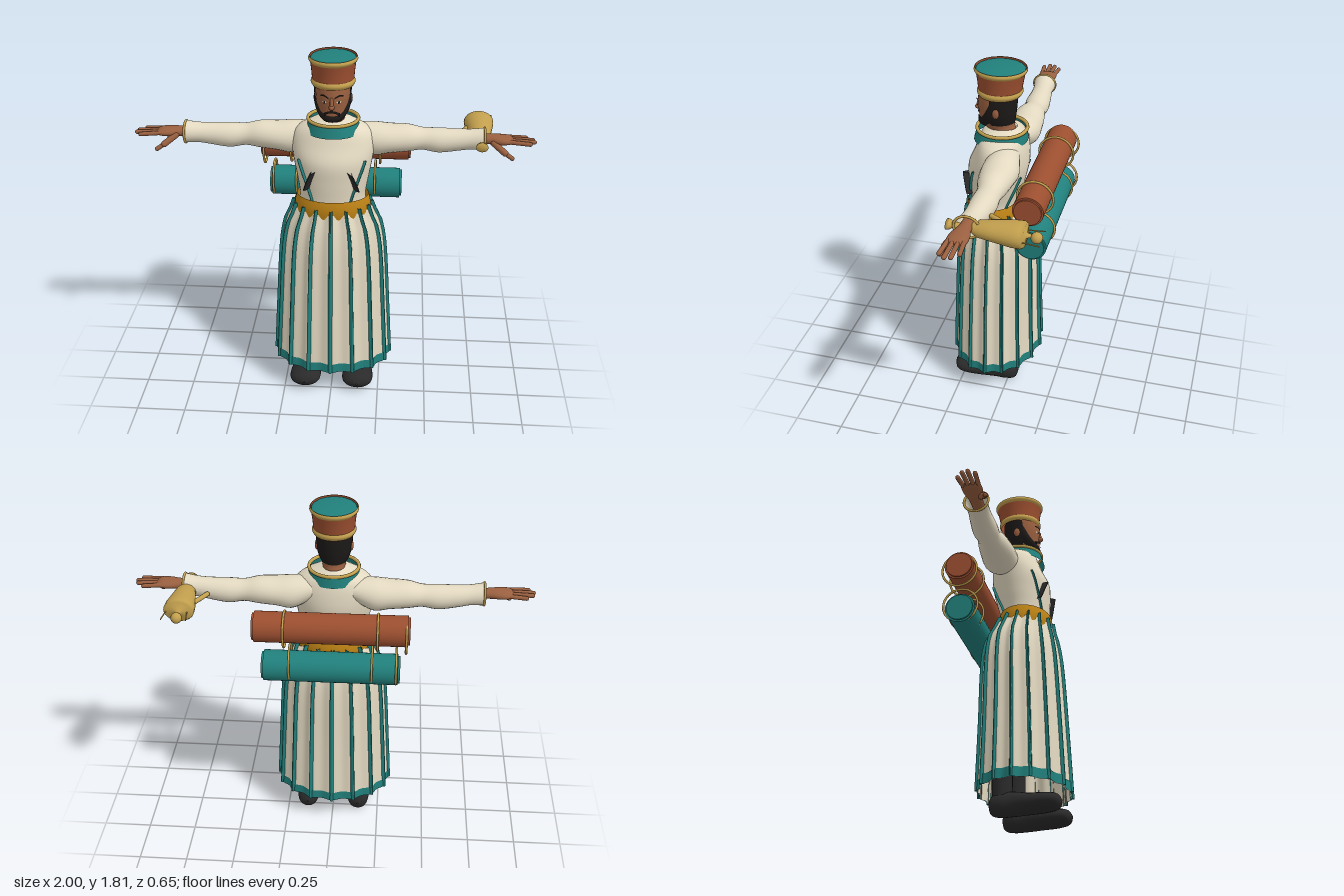
import * as THREE from 'three';
import { mergeVertices } from 'three/addons/utils/BufferGeometryUtils.js';

const material = (name, color, side = THREE.FrontSide) => {
  const m = new THREE.MeshStandardMaterial({ color, side });
  m.name = name;
  return m;
};
const cream = material('cream cloth', 0xe4dac2, THREE.DoubleSide);
const teal = material('teal cloth', 0x21807c, THREE.DoubleSide);
const rust = material('rust cloth', 0x9c4f30, THREE.DoubleSide);
const gold = material('gold', 0xc3a04e, THREE.DoubleSide);
const amber = material('amber belt', 0xc08416, THREE.DoubleSide);
const skin = material('skin', 0x9a6040);
const black = material('black leather', 0x2a2a2b, THREE.DoubleSide);
const hairDark = material('dark hair', 0x1c1918, THREE.DoubleSide);

// Sections are [t, centreA, radiusA, centreB, radiusB]; returns a smooth blend at t
function sectionAt(secs, t) {
  let i = 0;
  while (i < secs.length - 2 && t > secs[i + 1][0]) i++;
  const p = secs[i], q = secs[i + 1], o = secs[Math.max(i - 1, 0)], r = secs[Math.min(i + 2, secs.length - 1)];
  const h = q[0] - p[0], s = (t - p[0]) / h, s2 = s * s, s3 = s2 * s;
  return p.map((_, k) => {
    const m0 = (q[k] - o[k]) / (q[0] - o[0]), m1 = (r[k] - p[k]) / (r[0] - p[0]);
    return (2 * s3 - 3 * s2 + 1) * p[k] + (s3 - 2 * s2 + s) * h * m0 + (3 * s2 - 2 * s3) * q[k] + (s3 - s2) * h * m1;
  });
}

// Grid laid over elliptical sections; fn(u, v) gives [angle, t, outward offset]
function surface(secs, fn, nu = 32, nv = 20, axis = 'y') {
  const pos = [], idx = [];
  for (let j = 0; j <= nv; j++) for (let i = 0; i <= nu; i++) {
    const [a, t, off = 0] = fn(i / nu, j / nv);
    const [, c1, r1, c2, r2] = sectionAt(secs, t);
    const s = (r1 + off) * Math.sin(a), z = c2 + (r2 + off) * Math.cos(a);
    if (axis === 'y') pos.push(c1 + s, t, z);
    else pos.push(t, c1 - s, z);
    if (i < nu && j < nv) {
      const k = j * (nu + 1) + i, n = k + nu + 1;
      idx.push(k, k + 1, n + 1, k, n + 1, n);
    }
  }
  let g = new THREE.BufferGeometry();
  g.setAttribute('position', new THREE.Float32BufferAttribute(pos, 3));
  g.setIndex(idx);
  g = mergeVertices(g, 1e-5);
  g.computeVertexNormals();
  return g;
}
const TAU = Math.PI * 2;
const band = (secs, t0, t1, off = () => 0, nu = 32, nv = 20, axis = 'y') =>
  surface(secs, (u, v) => [u * TAU, t0 + (t1 - t0) * v, off(u * TAU, v)], nu, nv, axis);
// Raised strip between two [angle, t] points
const ribbon = (secs, p, q, half, height, base = 0, nv = 16) => surface(secs, (u, v) => [
  p[0] + (q[0] - p[0]) * v + (u * 2 - 1) * half, p[1] + (q[1] - p[1]) * v,
  base + height * Math.min(1, 3 * Math.min(u, 1 - u))], 6, nv);

// Round-ended rod between two points
function rod(a, b, r) {
  const A = new THREE.Vector3(...a), B = new THREE.Vector3(...b), d = B.clone().sub(A);
  const g = new THREE.CapsuleGeometry(r, d.length(), 4, 10);
  g.applyQuaternion(new THREE.Quaternion().setFromUnitVectors(new THREE.Vector3(0, 1, 0), d.normalize()));
  const c = A.add(B).multiplyScalar(0.5);
  return g.translate(c.x, c.y, c.z);
}
const ball = (x, y, z, rx, ry = rx, rz = rx) => new THREE.SphereGeometry(1, 16, 12).scale(rx, ry, rz).translate(x, y, z);
const ringX = (x, y, z, ry, rz, r) => new THREE.TorusGeometry(1, r / ry, 8, 32).rotateY(Math.PI / 2).scale(r / ry > 1 ? 1 : ry, ry, rz).translate(x, y, z);

export function createModel() {
  const model = new THREE.Group();
  model.name = 'robedFigure';
  const add = (name, geo, mat) => {
    const m = new THREE.Mesh(geo, mat);
    m.name = name;
    model.add(m);
  };
  // Adds a part on the left and its mirror on the right
  const pair = (name, geo, mat) => {
    add(name + 'Left', geo, mat);
    const g = geo.clone().scale(-1, 1, 1), ix = g.index;
    for (let i = 0; i < ix.count; i += 3) {
      const t = ix.getX(i);
      ix.setX(i, ix.getX(i + 1));
      ix.setX(i + 1, t);
    }
    add(name + 'Right', g, mat);
  };

  // Pleated skirt with hem and raised stripes
  const skirt = [[0.15, 0, 0.297, 0.09, 0.222], [0.5, 0, 0.277, 0.088, 0.208], [0.82, 0, 0.256, 0.083, 0.195],
    [0.95, 0, 0.232, 0.083, 0.177], [1.02, 0, 0.2, 0.092, 0.15], [1.07, 0, 0.185, 0.1, 0.135]];
  const pleat = a => 0.007 * Math.cos(16 * a);
  add('skirt', band(skirt, 0.15, 1.04, pleat, 128, 24), cream);
  add('hem', band(skirt, 0.15, 0.2, a => pleat(a) + 0.004, 128, 2), teal);
  for (let i = 0; i < 16; i++) {
    const a = i * TAU / 16;
    add('skirtStripe', ribbon(skirt, [a, 0.15], [a, 1.065], 0.045, 0.019, 0.001), teal);
  }

  // Torso and belt
  const torso = [[1.0, 0, 0.18, 0.1, 0.125], [1.1, 0, 0.165, 0.1, 0.125], [1.2, 0, 0.18, 0.09, 0.14], [1.3, 0, 0.198, 0.08, 0.15],
    [1.38, 0, 0.205, 0.065, 0.132], [1.44, 0, 0.18, 0.06, 0.115], [1.475, 0, 0.12, 0.06, 0.1], [1.5, 0, 0.055, 0.055, 0.065]];
  add('tunic', band(torso, 1.0, 1.5, undefined, 40, 30), cream);
  const belt = [[1.01, 0, 0.19, 0.1, 0.138], [1.11, 0, 0.18, 0.102, 0.133]];
  add('belt', band(belt, 1.012, 1.107, (a, v) => 0.006 * Math.sin(v * Math.PI), 40, 6), amber);
  pair('chestFlap', ribbon(torso, [0.75, 1.16], [0.47, 1.265], 0.05, 0.03), black);
  pair('chestTrim', ribbon(torso, [0.6, 1.1], [0.93, 1.31], 0.028, 0.012), teal);
  pair('backTrim', ribbon(torso, [2.3, 1.1], [2.65, 1.27], 0.028, 0.012), teal);

  // Collar
  const collar = [[1.43, 0, 0.14, 0.07, 0.135], [1.49, 0, 0.122, 0.065, 0.124]];
  add('collar', band(collar, 1.432, 1.49, undefined, 32, 4), teal);
  add('collarRing', new THREE.TorusGeometry(0.124, 0.009, 8, 40).rotateX(Math.PI / 2).translate(0, 1.492, 0.065), gold);

  // Head, ears and nose
  const head = [[1.42, 0, 0.062, 0.05, 0.062], [1.485, 0, 0.056, 0.06, 0.065], [1.51, 0, 0.06, 0.085, 0.082],
    [1.54, 0, 0.071, 0.09, 0.087], [1.58, 0, 0.079, 0.09, 0.09], [1.63, 0, 0.083, 0.09, 0.094], [1.69, 0, 0.083, 0.085, 0.092]];
  add('head', band(head, 1.42, 1.69), skin);
  add('nose', ball(0, 1.588, 0.184, 0.014, 0.013, 0.018), skin);
  add('noseBridge', rod([0, 1.63, 0.178], [0, 1.592, 0.188], 0.009), skin);
  pair('ear', ball(0.086, 1.6, 0.075, 0.009, 0.026, 0.017), skin);

  // Hair, beard and face details
  add('hair', surface(head, (u, v) => [1.4 + u * (TAU - 2.8), 1.525 + 0.16 * v, 0.007 * Math.sin(Math.PI * Math.min(0.5, v + 0.1))]), hairDark);
  add('beard', surface(head, (u, v) => {
    const w = Math.abs(2 * u - 1), lo = 1.493 + 0.05 * w * w, hi = 1.542 + 0.115 * w ** 3;
    return [(2 * u - 1) * 1.45, lo + (hi - lo) * v, 0.002 + 0.008 * Math.sin(Math.PI * v)];
  }, 32, 8), hairDark);
  add('moustache', surface(head, (u, v) => [(2 * u - 1) * 0.5, 1.559 - 0.016 * (2 * u - 1) ** 2 + 0.012 * v, 0.006], 16, 2), hairDark);
  pair('moustacheSide', ribbon(head, [0.55, 1.53], [0.48, 1.557], 0.08, 0.006), hairDark);
  pair('eye', surface(head, (u, v) => [0.27 + 0.3 * u, 1.614 + 0.007 * (2 * v - 1) * Math.sin(Math.PI * u), 0.003], 10, 2), cream);
  pair('pupil', surface(head, (u, v) => [0.37 + 0.1 * u, 1.614 + 0.007 * (2 * v - 1), 0.005], 2, 2), hairDark);
  pair('brow', surface(head, (u, v) => [0.16 + 0.5 * u, 1.631 + 0.012 * Math.sin(u * 2.4) + 0.008 * v, 0.006], 8, 2), hairDark);

  // Flared hat
  const hat = [[1.67, 0, 0.1, 0.075, 0.104], [1.74, 0, 0.105, 0.072, 0.112], [1.81, 0, 0.114, 0.07, 0.125]];
  add('hat', band(hat, 1.67, 1.81, undefined, 40, 8), rust);
  const roll = (a, v) => 0.007 * Math.sin(Math.PI * v);
  add('hatLowerBand', band(hat, 1.672, 1.703, roll, 40, 6), gold);
  add('hatUpperBand', band(hat, 1.785, 1.812, roll, 40, 6), gold);
  add('hatTop', ball(0, 1.802, 0.07, 0.112, 0.013, 0.123), teal);

  // Sleeves, cuffs and hands
  const arm = [[0.1, 1.395, 0.055, 0.02, 0.07], [0.2, 1.37, 0.082, 0.015, 0.09], [0.28, 1.372, 0.073, 0.015, 0.088], [0.37, 1.375, 0.068, 0.012, 0.075],
    [0.44, 1.372, 0.056, 0.01, 0.06], [0.52, 1.366, 0.062, 0.012, 0.064], [0.62, 1.372, 0.055, 0.015, 0.056], [0.68, 1.378, 0.051, 0.02, 0.053], [0.745, 1.382, 0.056, 0.025, 0.06]];
  pair('sleeve', band(arm, 0.1, 0.745, undefined, 24, 36, 'x'), cream);
  pair('cuff', ringX(0.745, 1.382, 0.025, 0.055, 0.06, 0.006), gold);
  const palm = [[0.68, 1.382, 0.024, 0.025, 0.03], [0.77, 1.385, 0.025, 0.028, 0.033], [0.82, 1.385, 0.024, 0.032, 0.047],
    [0.87, 1.385, 0.018, 0.033, 0.047], [0.895, 1.385, 0.002, 0.033, 0.03]];
  pair('palm', band(palm, 0.68, 0.895, undefined, 20, 16, 'x'), skin);
  [[-0.002, -0.008, 0.95], [0.022, 0.022, 0.982], [0.046, 0.05, 0.988], [0.069, 0.079, 0.965]].forEach(([z0, z1, x], i) =>
    pair('finger' + (i + 1), rod([0.865, 1.387, z0], [x, 1.382, z1], 0.011), skin));
  pair('thumb', rod([0.79, 1.375, 0.06], [0.845, 1.338, 0.095], 0.016), skin);
  pair('thumbTip', rod([0.845, 1.338, 0.095], [0.88, 1.316, 0.105], 0.011), skin);

  // Legs and shoes
  pair('leg', new THREE.CylinderGeometry(0.055, 0.05, 0.6, 16).translate(0.14, 0.4, 0.01), black);
  const shoe = [[-0.056, 0.06, 0.003, 0, 0.003], [-0.045, 0.06, 0.04, 0, 0.04], [0, 0.065, 0.06, 0, 0.058], [0.06, 0.065, 0.06, 0, 0.06],
    [0.15, 0.062, 0.05, 0, 0.076], [0.24, 0.064, 0.043, 0, 0.08], [0.285, 0.066, 0.03, 0, 0.055], [0.3, 0.066, 0.003, 0, 0.004]];
  pair('shoe', band(shoe, -0.056, 0.3, undefined, 24, 40, 'x').rotateY(-Math.PI / 2).translate(0.14, 0, 0), black);

  // Cloth rolls with cord loops behind the back
  const bolt = (name, y, z, r, half, mat, loops) => {
    add(name, new THREE.CylinderGeometry(r, r, half * 2 - 0.02, 32).rotateZ(Math.PI / 2).translate(0, y, z), mat);
    add(name + 'Ends', new THREE.CylinderGeometry(r * 0.88, r * 0.88, half * 2, 32).rotateZ(Math.PI / 2).translate(0, y, z), mat);
    loops.forEach(([x, dy]) => add(name + 'Cord', ringX(x, y + dy, z, 0.09, 0.09, 0.006), gold));
  };
  bolt('upperRoll', 1.262, -0.16, 0.077, 0.387, rust, [[0.23, -0.01], [-0.23, -0.01], [-0.37, -0.022]]);
  bolt('lowerRoll', 1.042, -0.165, 0.078, 0.345, teal, [[0.205, 0.028], [-0.205, 0.028], [-0.325, 0.02]]);

  // Jug hanging beside the left wrist
  const jug = [[0, -0.12], [0.03, -0.12], [0.028, -0.105], [0.016, -0.09], [0.018, -0.02], [0.048, 0.03], [0.06, 0.1],
    [0.073, 0.18], [0.075, 0.225], [0.066, 0.238], [0.015, 0.243], [0.008, 0.27], [0, 0.27]];
  add('jug', new THREE.LatheGeometry(jug.map(p => new THREE.Vector2(...p)), 28).rotateX(-Math.PI / 2).scale(1, 0.78, 1).translate(0.73, 1.375, 0), gold);
  add('jugFinial', ball(0.73, 1.37, -0.288, 0.027), gold);
  add('jugSpout', rod([0.62, 1.375, -0.055], [0.675, 1.375, -0.15], 0.012), gold);
  [[0.68, 0.688], [0.8, 0.79]].forEach(([a, b]) => add('jugHook', rod([a, 1.375, -0.315], [b, 1.375, -0.235], 0.003), gold));
  return model;
}
